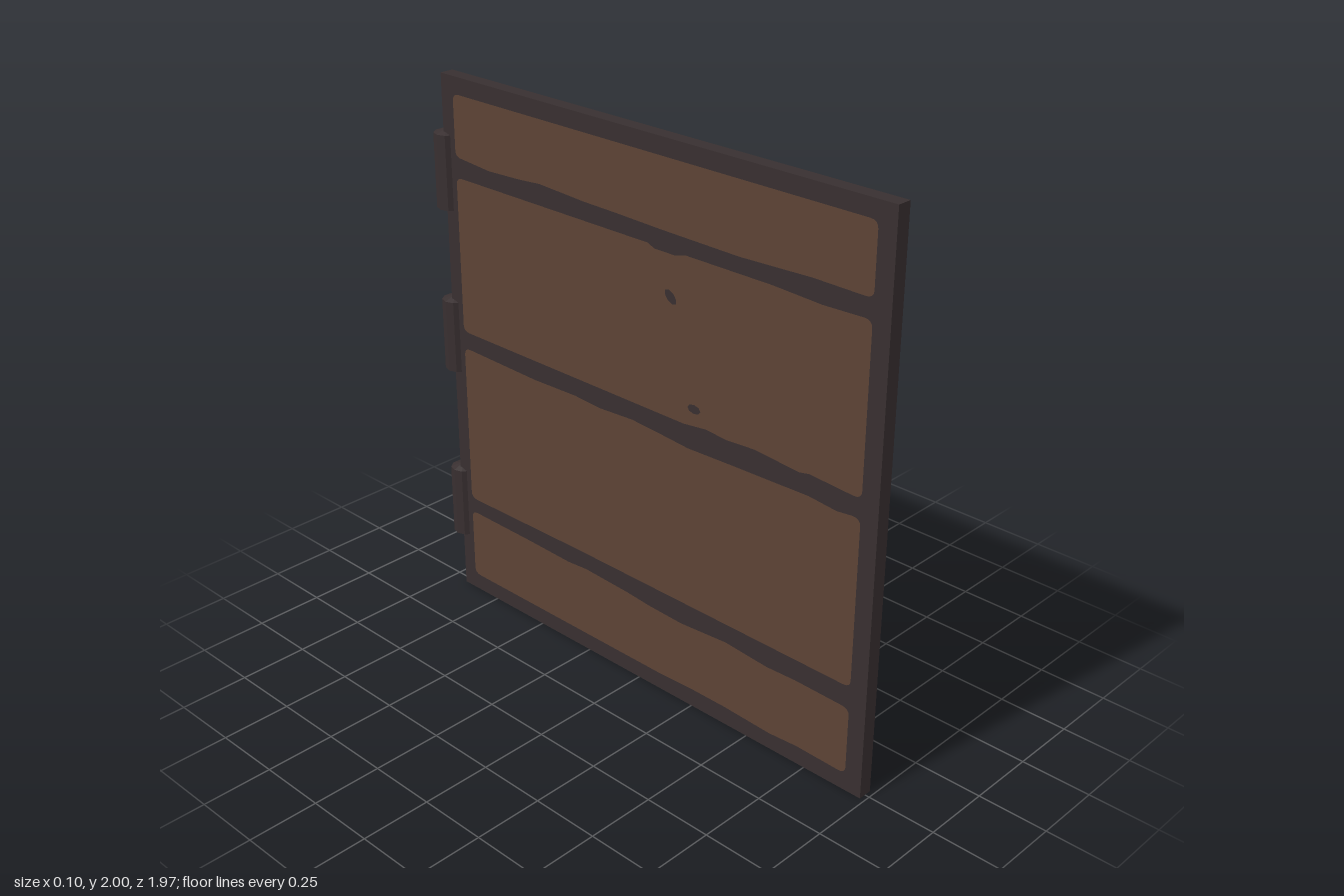
import * as THREE from 'three';

const frameMat = new THREE.MeshStandardMaterial({ color: 0x382f30 });
frameMat.name = 'darkFrame';
const woodMat = new THREE.MeshStandardMaterial({ color: 0x5c4335, side: THREE.DoubleSide });
woodMat.name = 'brownWood';

const HALF = 0.026;            // half thickness of the door
const U0 = -0.92, U1 = 0.87;   // plank ends, u runs from the free edge to the hinges
const R = 0.025;               // plank corner radius

// Worn plank edges, listed as [u, y] from the free edge to the hinges
const planks = [
  {
    name: 'topPlank',
    top: [[-0.89, 1.94], [0.84, 1.94]],
    bottom: [[-0.89, 1.708], [-0.7, 1.71], [-0.42, 1.699], [-0.1, 1.703], [0.1, 1.708], [0.25, 1.71],
      [0.45, 1.72], [0.55, 1.712], [0.7, 1.706], [0.84, 1.717]],
  },
  {
    name: 'upperPlank',
    top: [[-0.89, 1.642], [-0.74, 1.637], [-0.55, 1.645], [-0.2, 1.645], [-0.16, 1.633], [-0.07, 1.633],
      [-0.04, 1.645], [0.84, 1.645]],
    bottom: [[-0.89, 1.068], [-0.72, 1.078], [-0.68, 1.07], [-0.5, 1.083], [-0.38, 1.075], [-0.3, 1.082],
      [-0.2, 1.07], [0.84, 1.07]],
    knots: [[-0.14, 1.49, 0.03, 0.018, 0.7], [-0.245, 1.135, 0.028, 0.016, 0]],
  },
  {
    name: 'lowerPlank',
    top: [[-0.89, 1.0], [-0.83, 0.993], [-0.72, 1.003], [-0.55, 0.998], [-0.4, 0.994], [-0.22, 0.988],
      [-0.1, 0.997], [0.03, 1.005], [0.18, 0.996], [0.3, 1.003], [0.5, 0.997], [0.84, 1.005]],
    bottom: [[-0.89, 0.397], [0.3, 0.399], [0.84, 0.393]],
  },
  {
    name: 'bottomPlank',
    top: [[-0.89, 0.317], [-0.7, 0.32], [-0.58, 0.315], [-0.4, 0.328], [-0.2, 0.313], [-0.05, 0.318],
      [0.06, 0.327], [0.26, 0.335], [0.35, 0.328], [0.55, 0.333], [0.84, 0.336]],
    bottom: [[-0.89, 0.066], [-0.72, 0.07], [-0.6, 0.062], [-0.4, 0.07], [-0.25, 0.07], [-0.1, 0.064], [0.84, 0.065]],
  },
];

// Rounded outline with uneven edges and optional knot holes
function plankGeometry({ top, bottom, knots = [] }) {
  const yb = bottom[0][1], ybr = bottom.at(-1)[1];
  const yt = top[0][1], ytr = top.at(-1)[1];
  const s = new THREE.Shape();
  s.moveTo(...bottom[0]);
  bottom.slice(1).forEach((p) => s.lineTo(...p));
  s.quadraticCurveTo(U1, ybr, U1, ybr + R);
  s.lineTo(U1, ytr - R);
  s.quadraticCurveTo(U1, ytr, ...top.at(-1));
  [...top].reverse().slice(1).forEach((p) => s.lineTo(...p));
  s.quadraticCurveTo(U0, yt, U0, yt - R);
  s.lineTo(U0, yb + R);
  s.quadraticCurveTo(U0, yb, ...bottom[0]);
  for (const [u, y, rx, ry, turn] of knots) {
    const hole = new THREE.Path();
    hole.absellipse(u, y, rx, ry, 0, Math.PI * 2, true, turn);
    s.holes.push(hole);
  }
  return new THREE.ShapeGeometry(s, 4).rotateY(Math.PI / 2);
}

export function createModel() {
  const door = new THREE.Group();
  door.name = 'door';

  // Door slab, seen as the dark frame between the planks
  const slab = new THREE.Mesh(new THREE.BoxGeometry(HALF * 2, 2, 1.913), frameMat);
  slab.name = 'doorSlab';
  slab.position.set(0, 1, 0.0265);
  door.add(slab);

  // Wooden planks on both faces
  for (const plank of planks) {
    const geo = plankGeometry(plank);
    for (const side of [1, -1]) {
      const mesh = new THREE.Mesh(geo, woodMat);
      mesh.name = plank.name + (side > 0 ? 'Left' : 'Right');
      mesh.position.x = side * (HALF + 0.002);
      door.add(mesh);
    }
  }

  // Hinge barrels with shallow pointed ends
  const h = 0.135, r = 0.051;
  const corners = [[0, -h - 0.018], [r, -h], [r, -h], [r, h], [r, h], [0, h + 0.018]];
  const hingeGeo = new THREE.LatheGeometry(corners.map(([x, y]) => new THREE.Vector2(x, y)), 10, Math.PI / 2)
    .toNonIndexed();
  hingeGeo.computeVertexNormals();
  [['topHinge', 1.652], ['middleHinge', 1.036], ['bottomHinge', 0.358]].forEach(([name, y]) => {
    const hinge = new THREE.Mesh(hingeGeo, frameMat);
    hinge.name = name;
    hinge.position.set(0, y, -0.937);
    door.add(hinge);
  });

  return door;
}
